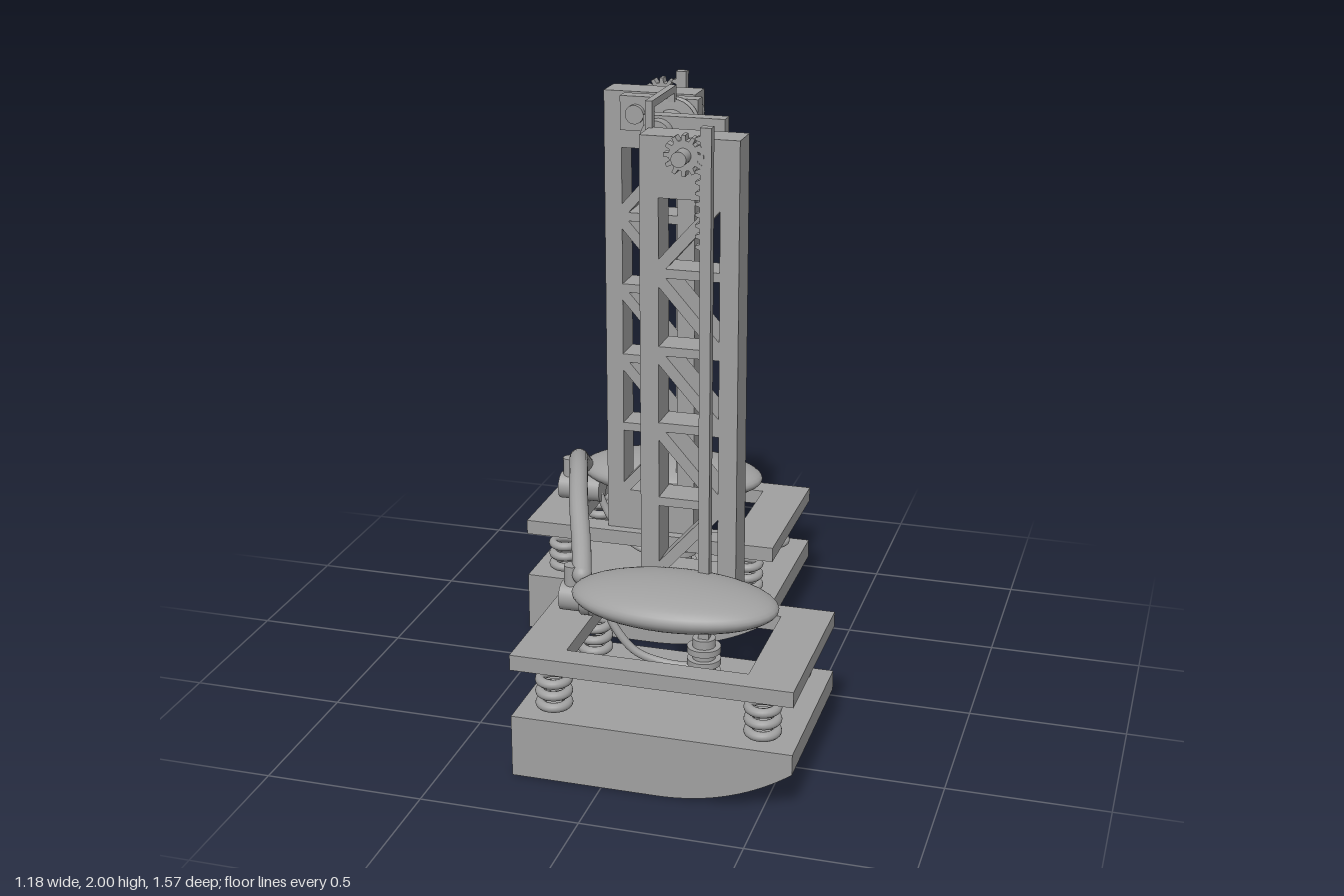
import * as THREE from 'three';

const grey = new THREE.MeshStandardMaterial({ color: 0xa0a0a0 });
grey.name = 'plain grey';

function add(parent, name, geo, x = 0, y = 0, z = 0) {
  const m = new THREE.Mesh(geo, grey);
  m.name = name;
  m.position.set(x, y, z);
  parent.add(m);
  return m;
}
const box = (w, h, d) => new THREE.BoxGeometry(w, h, d);
const cylY = (r, h, n = 32) => new THREE.CylinderGeometry(r, r, h, n);
const cylX = (r, h) => cylY(r, h).rotateZ(Math.PI / 2);
const cylZ = (r, h) => cylY(r, h).rotateX(Math.PI / 2);
const tube = (pts, r) => new THREE.TubeGeometry(
  new THREE.CatmullRomCurve3(pts.map(p => new THREE.Vector3(...p))), 40, r, 16, false);

// extrude a shape along z, centred on z = 0
function slab(shape, depth, curveSegments = 20) {
  return new THREE.ExtrudeGeometry(shape, { depth, bevelEnabled: false, curveSegments }).translate(0, 0, -depth / 2);
}
function polygon(points, T = THREE.Shape) {
  return new T(points.map(p => new THREE.Vector2(...p)));
}
const rectPts = (x0, y0, x1, y1) => [[x0, y0], [x1, y0], [x1, y1], [x0, y1]];

// foot block with an upswept toe
function footGeometry() {
  const s = new THREE.Shape();
  s.moveTo(-0.4375, 0);
  s.lineTo(0.02, 0);
  s.quadraticCurveTo(0.25, 0, 0.4375, 0.135);
  s.lineTo(0.4375, 0.2);
  s.lineTo(-0.4375, 0.2);
  return slab(s, 0.57);
}

// rectangular frame lying flat
function frameGeometry() {
  const s = polygon(rectPts(-0.4375, -0.285, 0.4375, 0.285));
  s.holes.push(polygon(rectPts(-0.283, -0.205, 0.283, 0.205), THREE.Path));
  return slab(s, 0.05).rotateX(-Math.PI / 2);
}

// lattice tower: five bays, each with one diagonal brace
function towerGeometry() {
  const s = polygon(rectPts(-0.1525, 0.4, 0.1525, 1.92));
  const w = 0.094, t = 0.028;
  for (let i = 0; i < 5; i++) {
    const y1 = 1.735 - i * 0.2435, y0 = y1 - 0.215;
    const f = (i === 0 || i === 4) ? 1 : -1;
    s.holes.push(polygon([[-w * f, y0 + t], [w * f - t * f * 0.8, y1], [-w * f, y1]], THREE.Path));
    s.holes.push(polygon([[-w * f + t * f * 0.8, y0], [w * f, y0], [w * f, y1 - t]], THREE.Path));
  }
  return slab(s, 0.11);
}

function gearGeometry() {
  const pts = [], n = 12;
  for (let i = 0; i < n; i++) {
    for (const [o, r] of [[-0.3, 0.045], [-0.18, 0.061], [0.18, 0.061], [0.3, 0.045]]) {
      const a = (i + o) / n * Math.PI * 2;
      pts.push([r * Math.cos(a), r * Math.sin(a)]);
    }
  }
  return slab(polygon(pts), 0.035);
}

// toothed bar: teeth face -x near the top
function rackGeometry() {
  const pts = [[0.018, 0.3], [0.018, 1.965], [-0.016, 1.965]];
  for (let y = 1.94; y > 1.61; y -= 0.032) {
    pts.push([-0.016, y], [-0.03, y - 0.005], [-0.03, y - 0.012], [-0.016, y - 0.017]);
  }
  pts.push([-0.016, 0.3]);
  return slab(polygon(pts), 0.032);
}

// one leg; s = +1 front, -1 rear
function createLeg(s) {
  const g = new THREE.Group();
  g.name = s > 0 ? 'frontLeg' : 'rearLeg';
  g.position.x = 0.1525 * s;

  add(g, 'foot', footGeometry(), 0, 0, 0.5 * s);
  add(g, 'platformFrame', frameGeometry(), 0, 0.38, 0.5 * s);
  add(g, 'tower', towerGeometry(), 0, 0, 0.305 * s);

  // corner springs
  for (const x of [-0.327, 0.327]) for (const z of [0.3, 0.7]) for (const y of [0.224, 0.263, 0.302]) {
    add(g, 'springCoil', new THREE.TorusGeometry(0.043, 0.015, 12, 32).rotateX(Math.PI / 2), x, y, z * s);
  }

  // damper under the rack
  add(g, 'damperCore', cylY(0.036, 0.155), 0.065, 0.278, 0.405 * s);
  for (const y of [0.235, 0.277, 0.318]) add(g, 'damperRing', cylY(0.053, 0.02), 0.065, y, 0.405 * s);

  add(g, 'rack', rackGeometry(), 0.065, 0, 0.405 * s);
  add(g, 'float', new THREE.SphereGeometry(1, 40, 24).scale(0.325, 0.068, 0.183), 0, 0.522, 0.512 * s);

  // pump with outlet stub and feed pipe to the damper
  add(g, 'pumpBody', cylX(0.047, 0.15), -0.31, 0.46, 0.44 * s);
  add(g, 'pumpFlange', cylX(0.06, 0.03), -0.3, 0.465, 0.44 * s);
  add(g, 'pumpOutlet', cylY(0.025, 0.08), -0.353, 0.525, 0.44 * s);
  add(g, 'feedPipe', tube([[-0.25, 0.45, 0.44 * s], [-0.215, 0.37, 0.44 * s], [-0.15, 0.29, 0.43 * s],
    [-0.06, 0.253, 0.41 * s], [0.06, 0.25, 0.405 * s]], 0.013));

  // axle, gear and crank arm
  add(g, 'axle', cylZ(0.023, 0.375), 0, 1.88, 0.2875 * s);
  add(g, 'gear', gearGeometry(), 0, 1.88, 0.405 * s);
  add(g, 'crankArm', box(0.255, 0.11, 0.05), -0.075 * s, 1.88, 0.13 * s);
  add(g, 'axleEnd', cylZ(0.03, 0.03), 0, 1.88, 0.1 * s);
  return g;
}

export function createModel() {
  const model = new THREE.Group();
  model.name = 'walkingMechanism';
  model.add(createLeg(1), createLeg(-1));

  // central shaft with grooved wheel
  add(model, 'crankShaft', cylZ(0.047, 0.39), 0, 1.88, 0);
  const wheel = [[0, -0.02], [0.08, -0.02], [0.08, -0.014], [0.068, -0.006],
    [0.068, 0.006], [0.08, 0.014], [0.08, 0.02], [0, 0.02]].map(p => new THREE.Vector2(...p));
  add(model, 'grooveWheel', new THREE.LatheGeometry(wheel, 40).rotateX(Math.PI / 2), 0, 1.88, 0);

  // pointer bracket from the front tower to the wheel
  add(model, 'bracketPost', box(0.022, 0.12, 0.022), 0, 1.94, 0.25);
  add(model, 'bracketArm', box(0.022, 0.022, 0.255), 0, 1.989, 0.1335);
  add(model, 'bracketTip', box(0.022, 0.05, 0.018), 0, 1.975, 0.013);

  // hose joining the two pumps
  add(model, 'hose', tube([[-0.455, 0.54, -0.45], [-0.436, 0.59, -0.36], [-0.385, 0.672, -0.18], [-0.325, 0.704, 0],
    [-0.265, 0.672, 0.18], [-0.196, 0.59, 0.36], [-0.165, 0.54, 0.45]], 0.031));
  for (const [x, s] of [[-0.455, -1], [-0.165, 1]]) {
    add(model, 'hoseEnd', new THREE.SphereGeometry(0.031, 20, 12), x, 0.54, 0.45 * s);
  }
  return model;
}
